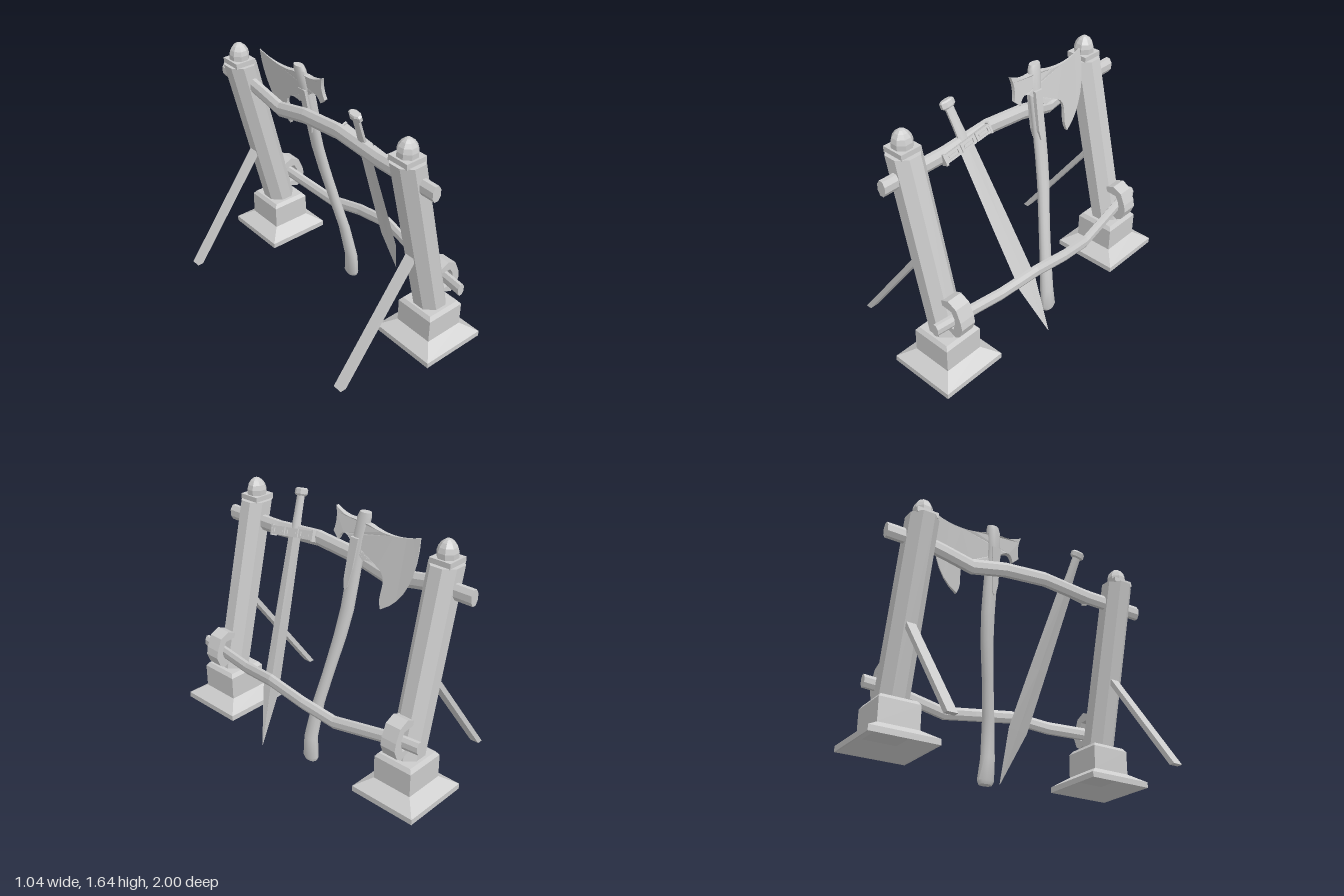
import * as THREE from 'three';
import { toCreasedNormals } from 'three/addons/utils/BufferGeometryUtils.js';

const flat = new THREE.MeshStandardMaterial({ color: 0xcccccc, flatShading: true });
const smooth = new THREE.MeshStandardMaterial({ color: 0xcccccc });

// Closed ring of n points; circumscribes the half sizes so the flats land on them.
function ring(n, phase, place) {
  return Array.from({ length: n }, (_, i) => {
    const a = phase + (i / n) * Math.PI * 2;
    return place(Math.cos(a), Math.sin(a));
  });
}
const ringY = (n, x, y, z, hx, hz, phase = Math.PI / n) => {
  const k = 1 / Math.cos(phase);
  return ring(n, phase, (c, s) => [x + hx * k * s, y, z + hz * k * c]);
};
const ringZ = (n, x, y, z, hx, hy) => {
  const k = 1 / Math.cos(Math.PI / n);
  return ring(n, Math.PI / n, (c, s) => [x + hx * k * c, y + hy * k * s, z]);
};

// Skin over successive rings, capped at both ends.
function loft(rings) {
  const pos = [];
  const tri = (a, b, c) => pos.push(...a, ...b, ...c);
  const n = rings[0].length;
  for (let i = 0; i < rings.length - 1; i++) {
    for (let j = 0; j < n; j++) {
      const k = (j + 1) % n, r = rings[i], q = rings[i + 1];
      tri(r[j], r[k], q[k]);
      tri(r[j], q[k], q[j]);
    }
  }
  const first = rings[0], last = rings[rings.length - 1];
  for (let j = 1; j < n - 1; j++) {
    tri(first[0], first[j + 1], first[j]);
    tri(last[0], last[j], last[j + 1]);
  }
  const g = new THREE.BufferGeometry();
  g.setAttribute('position', new THREE.Float32BufferAttribute(pos, 3));
  g.computeVertexNormals();
  return g;
}

function add(parent, name, geometry, material = flat) {
  const m = new THREE.Mesh(geometry, material);
  m.name = name;
  parent.add(m);
  return m;
}

function shapeFrom(points) {
  return new THREE.Shape(points.map(([x, y]) => new THREE.Vector2(x, y)));
}

// Leaning post with foot, cap, strut and rail hook
function createStand(z) {
  const g = new THREE.Group();
  g.name = 'stand';
  g.position.z = z;
  const square = (y, h) => ringY(4, 0.225, y, 0, h, h);
  add(g, 'foot', loft([
    square(0.15, 0.11), square(0.085, 0.215), square(0.083, 0.227), square(0.12, 0.227),
    square(0.18, 0.136), square(0.335, 0.136), square(0.36, 0.118),
  ]));
  add(g, 'post', loft([
    ringY(8, 0.226, 0.33, 0, 0.098, 0.098), ringY(8, -0.054, 1.48, 0, 0.098, 0.098),
  ]));
  add(g, 'capPlate', loft([
    ringY(4, -0.057, 1.475, 0, 0.073, 0.073), ringY(4, -0.057, 1.512, 0, 0.073, 0.073),
  ]));
  add(g, 'finial', loft([
    [1.51, 0.059], [1.545, 0.06], [1.575, 0.052], [1.6, 0.036], [1.615, 0.018], [1.62, 0.006],
  ].map(([y, r]) => ringY(8, -0.057, y, 0, r, r))));
  add(g, 'strut', loft([
    ringY(4, -0.505, 0.07, 0, 0.02, 0.032), ringY(4, 0.06, 0.835, 0, 0.02, 0.032),
  ]));
  const hook = new THREE.ExtrudeGeometry(shapeFrom([
    [0.23, 0.61], [0.3, 0.64], [0.365, 0.61], [0.4, 0.53], [0.41, 0.48], [0.385, 0.415], [0.35, 0.392],
    [0.28, 0.42], [0.28, 0.45], [0.335, 0.445], [0.352, 0.49], [0.35, 0.53], [0.325, 0.575], [0.25, 0.58],
  ]), { depth: 0.106, bevelEnabled: false });
  add(g, 'railHook', hook.translate(0, 0, -0.053));
  return g;
}

function createSword() {
  const g = new THREE.Group();
  g.name = 'sword';
  // Local y runs from tip to pommel, local x across the blade
  const tip = new THREE.Vector3(0.515, 0.096, 0.18);
  const up = new THREE.Vector3(-0.1, 1.61, 0.4).sub(tip).normalize();
  const side = new THREE.Vector3(0, up.z, -up.y).normalize();
  const face = new THREE.Vector3().crossVectors(side, up);
  g.applyMatrix4(new THREE.Matrix4().makeBasis(side, up, face).setPosition(tip));

  add(g, 'blade', loft([
    [0, 0.002, 0.001], [0.37, 0.072, 0.008], [0.8, 0.066, 0.01], [1.36, 0.054, 0.012],
  ].map(([y, w, t]) => ringY(4, 0, y, 0, w, t, 0))));
  const grip = loft([[1.4, 0.034], [1.5, 0.029], [1.63, 0.027]].map(([y, w]) => ringY(8, 0, y, 0, w, 0.018)));
  add(g, 'grip', toCreasedNormals(grip, 0.9), smooth);
  add(g, 'pommel', loft([
    [1.612, 0.036, 0.02], [1.622, 0.047, 0.026], [1.652, 0.047, 0.026], [1.662, 0.036, 0.02],
  ].map(([y, w, t]) => ringY(8, 0, y, 0, w, t))));

  // Crossguard with flared ends and raised frames on both faces
  const guard = new THREE.Group();
  guard.name = 'crossguard';
  guard.position.set(0, 1.377, 0.012);
  g.add(guard);
  add(guard, 'guardBar', new THREE.BoxGeometry(0.36, 0.056, 0.026));
  const frame = shapeFrom([[-0.054, -0.027], [0.054, -0.027], [0.054, 0.027], [-0.054, 0.027]]);
  frame.holes.push(new THREE.Path([[-0.04, -0.014], [-0.04, 0.014], [0.04, 0.014], [0.04, -0.014]]
    .map(([x, y]) => new THREE.Vector2(x, y))));
  const frameGeometry = new THREE.ExtrudeGeometry(frame, { depth: 0.042, bevelEnabled: false });
  frameGeometry.translate(0, 0, -0.021);
  for (const i of [-1, 0, 1]) {
    add(guard, 'guardFrame', frameGeometry).position.x = i * 0.12;
    add(guard, 'guardStud', new THREE.BoxGeometry(0.06, 0.012, 0.036)).position.x = i * 0.12;
  }
  for (const s of [-1, 1]) add(guard, 'guardEnd', new THREE.BoxGeometry(0.014, 0.072, 0.046)).position.x = s * 0.181;
  return g;
}

function createAxe() {
  const g = new THREE.Group();
  g.name = 'axe';
  // Curved handle: x, y, z, half thickness, half width
  const handle = [
    [0.312, 0.005, -0.057, 0.028, 0.044], [0.31, 0.03, -0.056, 0.038, 0.056], [0.3, 0.17, -0.05, 0.036, 0.048],
    [0.255, 0.42, -0.078, 0.034, 0.04], [0.203, 0.64, -0.118, 0.033, 0.038], [0.15, 0.88, -0.162, 0.033, 0.043],
    [0.11, 1.06, -0.184, 0.032, 0.046], [0.08, 1.22, -0.192, 0.032, 0.046], [0.025, 1.5, -0.203, 0.03, 0.046],
    [0.005, 1.62, -0.219, 0.029, 0.047], [0, 1.65, -0.225, 0.024, 0.04],
  ];
  add(g, 'axeHandle', toCreasedNormals(loft(handle.map(([x, y, z, hx, hz]) => ringY(12, x, y, z, hx, hz))), 0.8), smooth);

  // Plates lie along -z and lean with the handle; the rule thins them away from it
  const plate = (name, shape, thickness) => {
    const geo = new THREE.ExtrudeGeometry(shape, { depth: 1, bevelEnabled: false, curveSegments: 8 });
    geo.translate(0, 0, -0.5);
    const p = geo.attributes.position;
    for (let i = 0; i < p.count; i++) {
      const u = p.getX(i), y = p.getY(i), lean = 0.012 + (1.6 - y) * 0.178;
      p.setXYZ(i, lean + p.getZ(i) * thickness(u), y, -u);
    }
    geo.computeVertexNormals();
    add(g, name, geo);
  };
  const head = new THREE.Shape();
  head.moveTo(0.005, 1.64);
  head.quadraticCurveTo(0.08, 1.595, 0.16, 1.6);
  head.lineTo(0.28, 1.59);
  head.quadraticCurveTo(0.45, 1.54, 0.635, 1.603);
  head.bezierCurveTo(0.655, 1.4, 0.59, 1.21, 0.433, 1.134);
  head.bezierCurveTo(0.39, 1.22, 0.46, 1.29, 0.4, 1.35);
  head.quadraticCurveTo(0.34, 1.4, 0.26, 1.38);
  head.lineTo(0.155, 1.47);
  head.quadraticCurveTo(0.08, 1.54, 0.052, 1.45);
  head.lineTo(0.008, 1.49);
  head.quadraticCurveTo(0.035, 1.57, 0.005, 1.64);
  plate('axeHead', head, (u) => Math.max(0.006, 0.045 - 0.11 * Math.abs(u - 0.21)));
  plate('handleStrap', shapeFrom([
    [0.165, 1.5], [0.155, 1.25], [0.165, 1.19], [0.177, 1.18], [0.19, 1.2], [0.21, 1.32], [0.225, 1.5],
  ]), () => 0.076);
  return g;
}

export function createModel() {
  const model = new THREE.Group();
  model.name = 'weaponRack';
  for (const z of [0.773, -0.77]) model.add(createStand(z));

  // Bent rails: x, y, z along their length
  const rail = (name, path, hx, hy) =>
    add(model, name, loft(path.map(([x, y, z]) => ringZ(8, x, y, z, hx, hy))));
  rail('upperRail', [
    [-0.02, 1.346, -0.99], [-0.02, 1.346, -0.7], [-0.02, 1.325, -0.58], [-0.02, 1.287, -0.39],
    [-0.02, 1.345, -0.14], [-0.02, 1.374, 0.17], [-0.02, 1.346, 0.52], [-0.02, 1.346, 0.97],
  ], 0.031, 0.049);
  rail('lowerRail', [
    [0.305, 0.497, -0.92], [0.323, 0.497, -0.77], [0.378, 0.44, -0.33], [0.406, 0.487, -0.09],
    [0.406, 0.53, 0.19], [0.367, 0.497, 0.46], [0.325, 0.497, 0.77], [0.305, 0.497, 0.94],
  ], 0.025, 0.041);

  model.add(createSword(), createAxe());
  return model;
}
